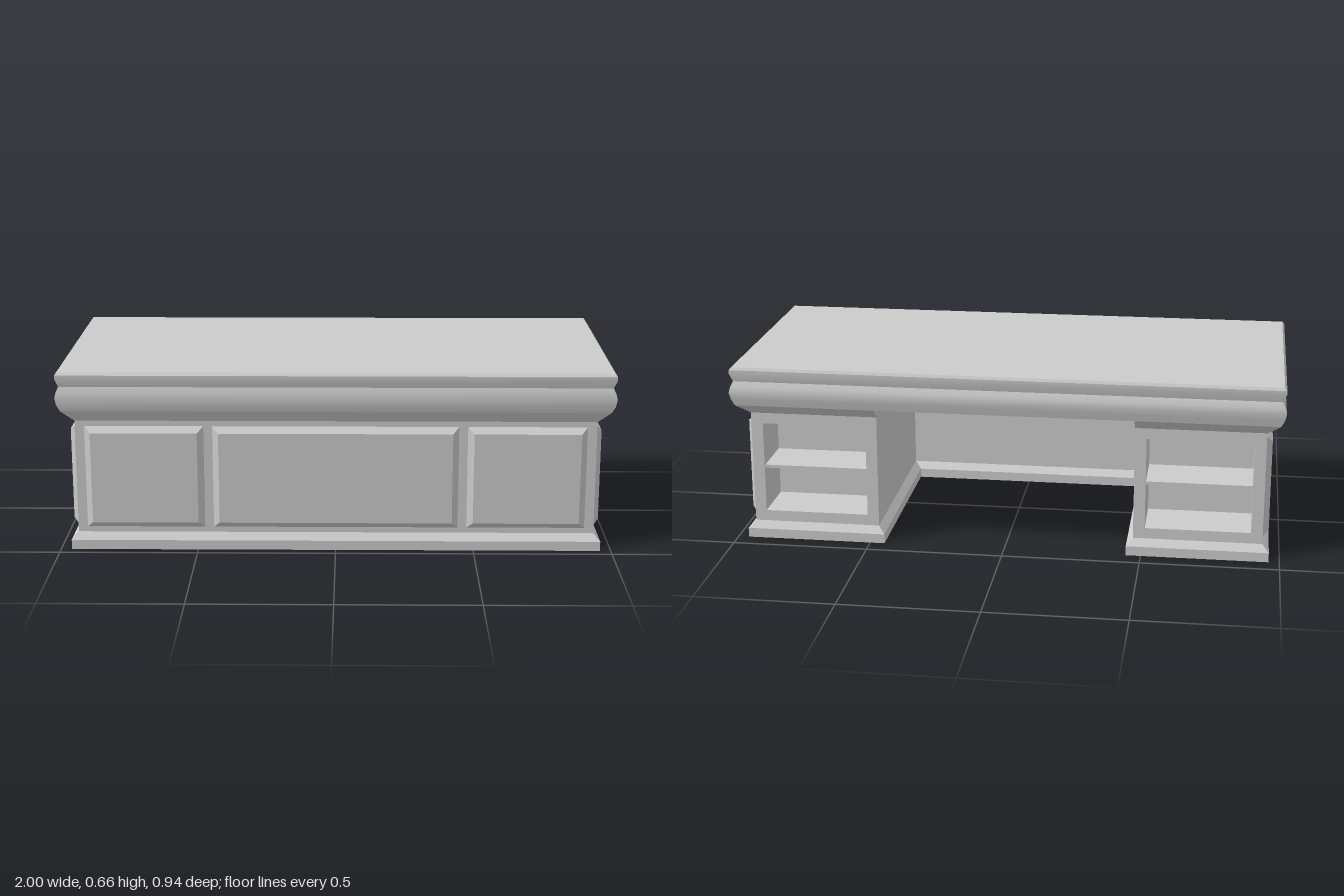
import * as THREE from 'three';
import { toCreasedNormals } from 'three/addons/utils/BufferGeometryUtils.js';

const material = new THREE.MeshStandardMaterial({ color: 0xcccccc });

// Counter-clockwise rectangle outline
const rect = (u0, u1, v0, v1) => [[u0, v0], [u1, v0], [u1, v1], [u0, v1]];

// U-shaped plan around the kneehole (v = -z)
const uPlan = (x, zf, zb, xi, zi) => [
  [-x, -zf], [x, -zf], [x, -zb], [xi, -zb], [xi, -zi], [-xi, -zi], [-xi, -zb], [-x, -zb]];

// Skin a stack of outlines [outline, height] along local z, with optional end caps
function loft(rings, { start = false, end = false, skip = [] } = {}) {
  const pos = [];
  const at = (r, i) => [...rings[r][0][i], rings[r][1]];
  const n = rings[0][0].length;
  for (let r = 0; r + 1 < rings.length; r++) {
    for (let i = 0; i < n; i++) {
      if (skip.includes(i)) continue;
      const j = (i + 1) % n;
      pos.push(...at(r, i), ...at(r, j), ...at(r + 1, j));
      pos.push(...at(r, i), ...at(r + 1, j), ...at(r + 1, i));
    }
  }
  const cap = (r, flip) => {
    const outline = rings[r][0].map(([u, v]) => new THREE.Vector2(u, v));
    for (const t of THREE.ShapeUtils.triangulateShape(outline, [])) {
      const [a, b, c] = flip ? [t[2], t[1], t[0]] : t;
      pos.push(...at(r, a), ...at(r, b), ...at(r, c));
    }
  };
  if (start) cap(0, true);
  if (end) cap(rings.length - 1, false);
  const g = new THREE.BufferGeometry();
  g.setAttribute('position', new THREE.Float32BufferAttribute(pos, 3));
  return g;
}

export function createModel() {
  const desk = new THREE.Group();
  desk.name = 'desk';

  const add = (name, geometry) => {
    geometry.computeVertexNormals();
    const mesh = new THREE.Mesh(toCreasedNormals(geometry, 0.5), material);
    mesh.name = name;
    desk.add(mesh);
    return mesh;
  };
  const upright = (g) => g.rotateX(-Math.PI / 2);

  const X = 0.937, ZF = 0.44, ZB = -0.41;   // body faces
  const XI = 0.47, ZI = 0.325;              // kneehole faces
  const Y0 = 0.06, Y1 = 0.48;               // body bottom and top
  const bodyPlan = uPlan(X, ZF, ZB, XI, ZI);

  // Plinth with a chamfered top edge
  const f = 0.024;
  const plinthPlan = uPlan(X + f, ZF + f, ZB - f, XI - f, ZI - f);
  add('plinth', upright(loft([[plinthPlan, 0], [plinthPlan, 0.035], [bodyPlan, Y0]], { start: true })));

  // Body walls; the pedestal backs are left out for the cubbies
  add('body', upright(loft([[bodyPlan, Y0], [bodyPlan, Y1]], { skip: [2, 6] })));

  // Lower cornice follows the U, so the kneehole reaches higher
  add('lowerCornice', upright(loft([
    [bodyPlan, Y1],
    [uPlan(0.96, 0.452, -0.433, XI, ZI), 0.5],
    [uPlan(0.983, 0.463, -0.456, XI, ZI), 0.52],
  ])));

  // Upper cornice and top slab: [y, half width, front z, back z]
  const profile = [
    [0.52, 0.983, 0.463, -0.456], [0.545, 0.995, 0.47, -0.462], [0.57, 1, 0.471, -0.467],
    [0.59, 0.995, 0.469, -0.463], [0.61, 0.986, 0.462, -0.453], [0.64, 0.998, 0.469, -0.46],
    [0.653, 0.998, 0.469, -0.46], [0.663, 0.99, 0.46, -0.454],
  ];
  add('top', upright(loft(
    profile.map(([y, x, zf, zb]) => [rect(-x, x, -zf, -zb), y]), { start: true, end: true })));

  // Raised panel with bevelled edges
  const panel = (u0, u1) => {
    const b = 0.022, v0 = 0.08, v1 = 0.46;
    return loft([
      [rect(u0, u1, v0, v1), 0],
      [rect(u0 + b, u1 - b, v0 + b, v1 - b), 0.021],
    ], { end: true });
  };
  for (const [u0, u1] of [[-0.903, -0.475], [-0.443, 0.443], [0.475, 0.903]]) {
    add('frontPanel', panel(u0, u1).translate(0, 0, ZF));
  }
  for (const s of [1, -1]) {
    for (const [z0, z1] of [[0.025, 0.42], [-0.39, 0.005]]) {
      const g = s > 0 ? panel(-z1, -z0) : panel(z0, z1);
      add('sidePanel', g.rotateY(s * Math.PI / 2).translate(s * X, 0, 0));
    }
  }

  // Pedestal backs: frame, recessed cubby and shelf
  const m = 0.042, depth = 0.2;
  for (const s of [1, -1]) {
    const c = s * (X + XI) / 2, w = (X - XI) / 2;
    const opening = rect(-w + m, w - m, 0.1, 0.44);
    const cubby = loft([[rect(-w, w, Y0, Y1), 0], [opening, 0], [opening, -depth]], { end: true });
    add('cubby', cubby.rotateY(Math.PI).translate(c, 0, ZB));
    const shelf = new THREE.BoxGeometry(2 * (w - m), 0.012, depth - 0.01);
    add('shelf', shelf.translate(c, 0.27, ZB + depth / 2 + 0.005));
  }
  return desk;
}
